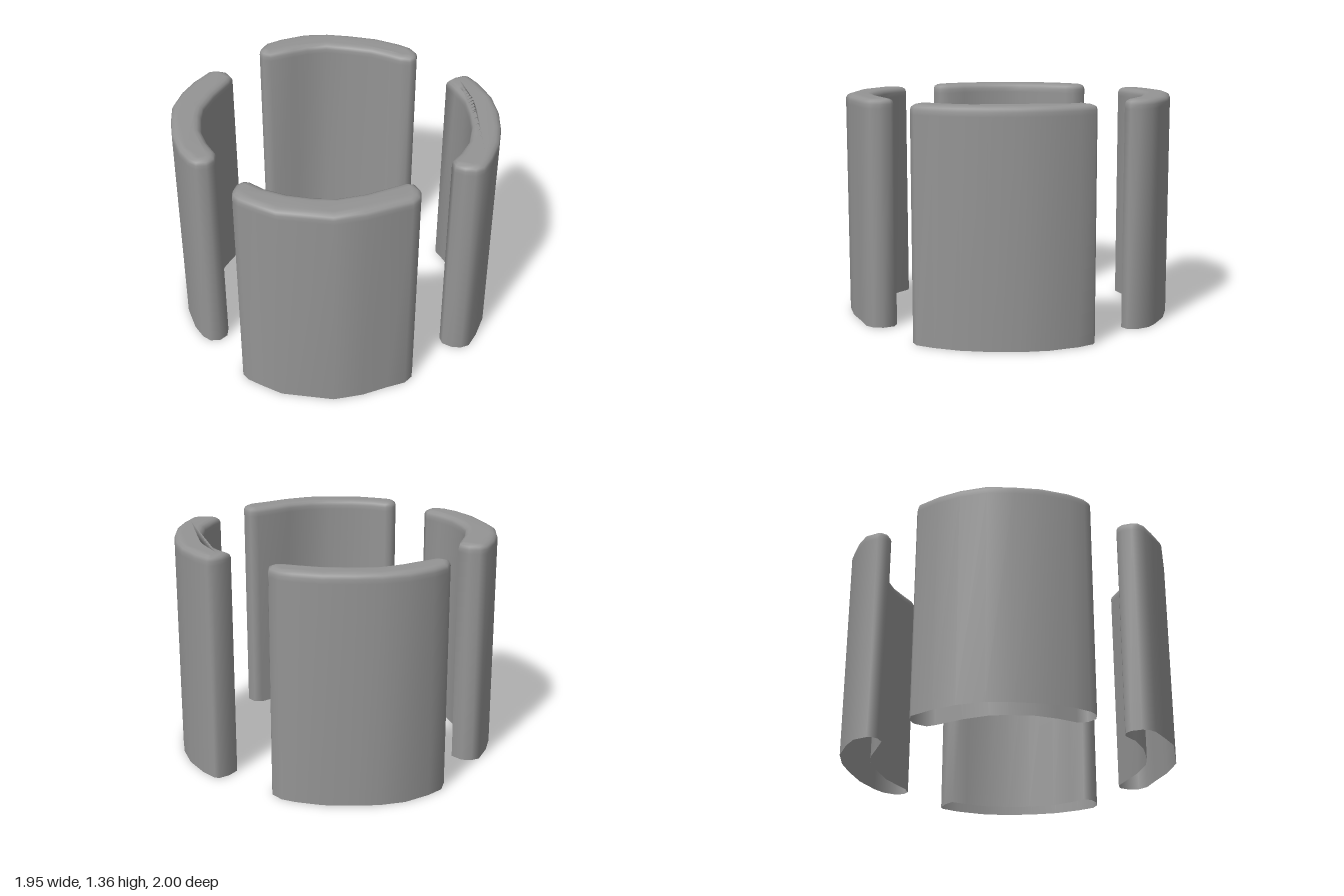
import * as THREE from 'three';

// Plan outlines [x, z] of the four curved wall segments
const outlines = {
  backWall: [
    [-0.515, -0.78], [-0.48, -0.86], [-0.39, -0.92], [-0.24, -0.985], [-0.09, -1], [0.05, -0.985],
    [0.23, -0.95], [0.38, -0.885], [0.45, -0.84], [0.495, -0.77], [0.49, -0.71], [0.45, -0.68],
    [0.39, -0.69], [0.32, -0.725], [0.2, -0.78], [0.05, -0.81], [-0.09, -0.83], [-0.21, -0.805],
    [-0.3, -0.765], [-0.44, -0.705], [-0.49, -0.72], [-0.515, -0.75]],
  frontWall: [
    [-0.53, 0.77], [-0.515, 0.71], [-0.48, 0.68], [-0.44, 0.68], [-0.36, 0.74], [-0.23, 0.79],
    [-0.08, 0.815], [0.04, 0.815], [0.19, 0.77], [0.41, 0.66], [0.46, 0.67], [0.495, 0.73],
    [0.49, 0.79], [0.45, 0.84], [0.34, 0.885], [0.2, 0.95], [0.03, 0.995], [-0.28, 0.96],
    [-0.4, 0.9], [-0.49, 0.85], [-0.525, 0.81]],
  rightWall: [
    [-0.76, -0.5], [-0.7, -0.485], [-0.655, -0.42], [-0.67, -0.37], [-0.745, -0.21], [-0.79, -0.06],
    [-0.79, 0.04], [-0.77, 0.19], [-0.72, 0.31], [-0.66, 0.41], [-0.66, 0.47], [-0.7, 0.515],
    [-0.76, 0.52], [-0.81, 0.485], [-0.87, 0.4], [-0.935, 0.24], [-0.965, 0.08], [-0.98, -0.07],
    [-0.945, -0.23], [-0.89, -0.36], [-0.81, -0.485]],
  leftWall: [
    [0.78, -0.505], [0.72, -0.475], [0.67, -0.42], [0.72, -0.33], [0.775, -0.2], [0.795, -0.06],
    [0.8, 0.08], [0.775, 0.24], [0.72, 0.36], [0.67, 0.44], [0.685, 0.49], [0.74, 0.52],
    [0.8, 0.525], [0.85, 0.5], [0.9, 0.4], [0.95, 0.25], [0.97, 0.09], [0.97, -0.09],
    [0.94, -0.25], [0.87, -0.41], [0.81, -0.495]],
};

// Rings from the open foot to the rounded top: [inset, height]
const profile = [[0, 0], [0, 1.3], [0, 1.325], [0.007, 1.343], [0.025, 1.353], [0.045, 1.357]];

// Open-bottomed shell with a softly rounded, closed top
function wallGeometry(outline) {
  const pts = outline.map(([x, z]) => new THREE.Vector2(x, z));
  if (THREE.ShapeUtils.area(pts) < 0) pts.reverse();
  const n = pts.length;

  // Outward direction at each corner
  const out = pts.map((p, i) => {
    const t = pts[(i + 1) % n].clone().sub(pts[(i + n - 1) % n]).normalize();
    return new THREE.Vector2(t.y, -t.x);
  });

  const positions = [];
  const index = [];
  for (const [inset, y] of profile) {
    pts.forEach((p, i) => positions.push(p.x - out[i].x * inset, y, p.y - out[i].y * inset));
  }
  for (let r = 0; r < profile.length - 1; r++) {
    for (let i = 0; i < n; i++) {
      const a = r * n + i;
      const b = r * n + (i + 1) % n;
      index.push(a, a + n, b, b, a + n, b + n);
    }
  }

  // Top cap
  const last = (profile.length - 1) * n;
  for (const [a, b, c] of THREE.ShapeUtils.triangulateShape(pts, [])) {
    index.push(last + a, last + c, last + b);
  }

  const geometry = new THREE.BufferGeometry();
  geometry.setAttribute('position', new THREE.Float32BufferAttribute(positions, 3));
  geometry.setIndex(index);
  geometry.computeVertexNormals();
  return geometry;
}

export function createModel() {
  const group = new THREE.Group();
  group.name = 'curvedWalls';
  const grey = new THREE.MeshStandardMaterial({ color: 0x949494, side: THREE.DoubleSide });
  grey.name = 'grey';
  for (const [name, outline] of Object.entries(outlines)) {
    const wall = new THREE.Mesh(wallGeometry(outline), grey);
    wall.name = name;
    group.add(wall);
  }
  return group;
}
